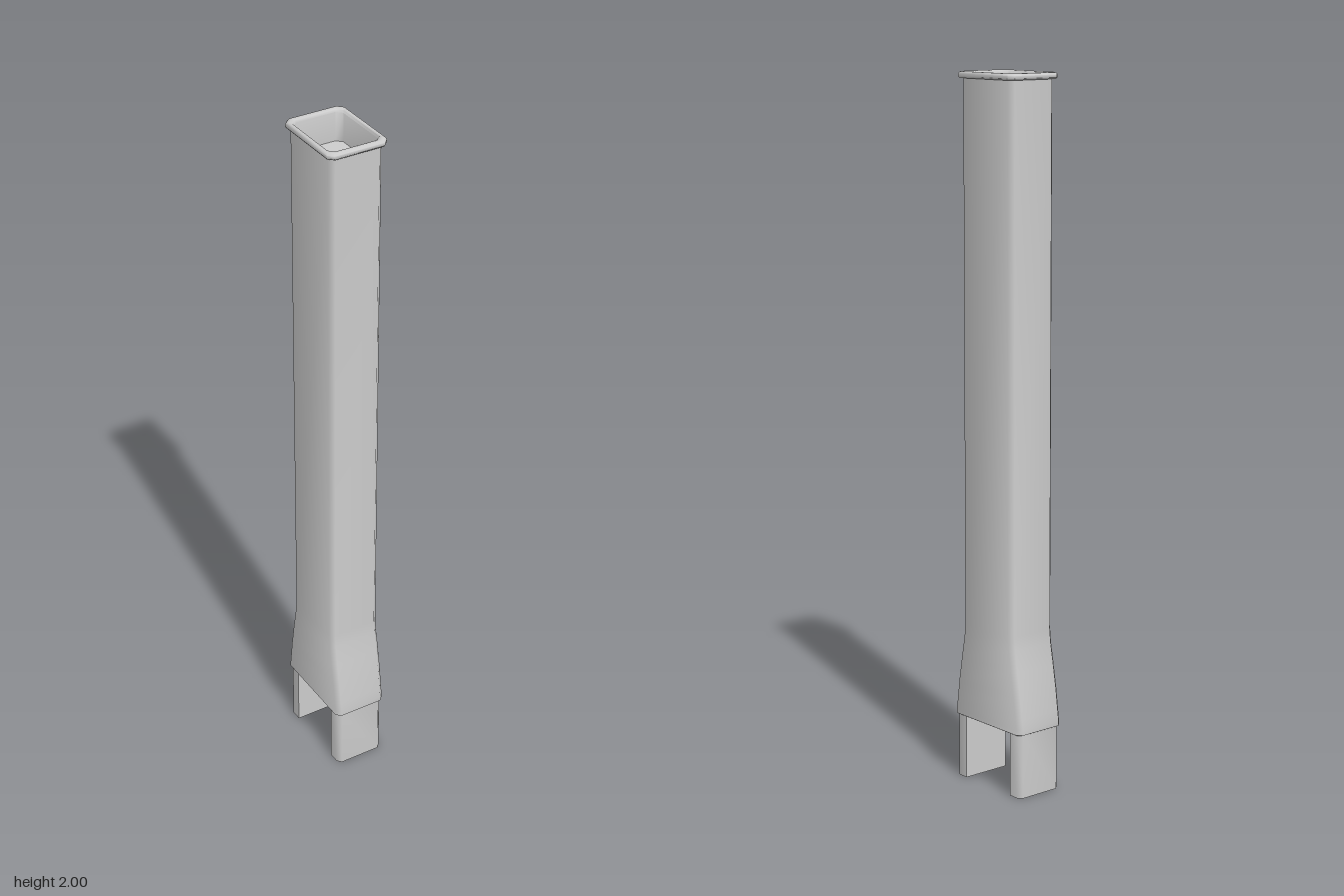
import * as THREE from 'three';
import { toCreasedNormals } from 'three/addons/utils/BufferGeometryUtils.js';

const material = new THREE.MeshStandardMaterial({ color: 0xcccccc });

// Lofts chamfered rectangles [halfX, halfZ, chamfer, y]; either end can be capped.
function loft(profile, capStart, capEnd) {
  const pos = [], index = [];
  for (const [x, z, c, y] of profile) {
    const ring = [[x, -z + c], [x, z - c], [x - c, z], [-x + c, z],
      [-x, z - c], [-x, -z + c], [-x + c, -z], [x - c, -z]];
    for (const [px, pz] of ring) pos.push(px, y, pz);
  }
  const last = (profile.length - 1) * 8;
  pos.push(0, profile[0][3], 0, 0, profile[profile.length - 1][3], 0);
  for (let i = 0; i < 8; i++) {
    const j = (i + 1) % 8;
    for (let r = 0; r < last; r += 8) {
      index.push(r + i, r + 8 + i, r + j, r + j, r + 8 + i, r + 8 + j);
    }
    if (capStart) index.push(last + 8, i, j);
    if (capEnd) index.push(last + i, last + 9, last + j);
  }
  const geometry = new THREE.BufferGeometry();
  geometry.setAttribute('position', new THREE.Float32BufferAttribute(pos, 3));
  geometry.setIndex(index);
  return toCreasedNormals(geometry, 0.95);
}

function addMesh(parent, name, geometry) {
  const mesh = new THREE.Mesh(geometry, material);
  mesh.name = name;
  parent.add(mesh);
  return mesh;
}

export function createModel() {
  const model = new THREE.Group();
  model.name = 'flaredTube';

  // Long tube, flaring front and back towards a small lip at its foot
  addMesh(model, 'tube', loft([
    [0.074, 0.137, 0.012, 0.183],
    [0.079, 0.143, 0.013, 0.186],
    [0.079, 0.143, 0.013, 0.2],
    [0.079, 0.139, 0.013, 0.23],
    [0.079, 0.131, 0.013, 0.29],
    [0.079, 0.119, 0.013, 0.36],
    [0.078, 0.109, 0.013, 0.42],
    [0.078, 0.105, 0.013, 0.46],
    [0.078, 0.105, 0.013, 1.986],
  ], true, false));

  // Rounded rim around the shallow recess in the top
  addMesh(model, 'rim', loft([
    [0.077, 0.104, 0.013, 1.982],
    [0.085, 0.114, 0.014, 1.982],
    [0.088, 0.117, 0.015, 1.986],
    [0.088, 0.117, 0.015, 1.994],
    [0.085, 0.114, 0.015, 1.999],
    [0.081, 0.108, 0.015, 2.0],
    [0.076, 0.101, 0.015, 1.998],
    [0.073, 0.098, 0.015, 1.992],
    [0.073, 0.098, 0.015, 1.91],
  ], false, true));

  // Two tabs below the tube, outer corners chamfered
  const outline = new THREE.Shape([
    [-0.073, -0.095], [-0.073, -0.127], [-0.062, -0.139],
    [0.062, -0.139], [0.073, -0.127], [0.073, -0.095],
  ].map(([x, y]) => new THREE.Vector2(x, y)));
  const tabGeometry = new THREE.ExtrudeGeometry(outline, { depth: 0.19, bevelEnabled: false });
  tabGeometry.rotateX(-Math.PI / 2);
  const tab = toCreasedNormals(tabGeometry, 0.95);
  addMesh(model, 'frontTab', tab);
  addMesh(model, 'backTab', tab).rotation.y = Math.PI;

  return model;
}
